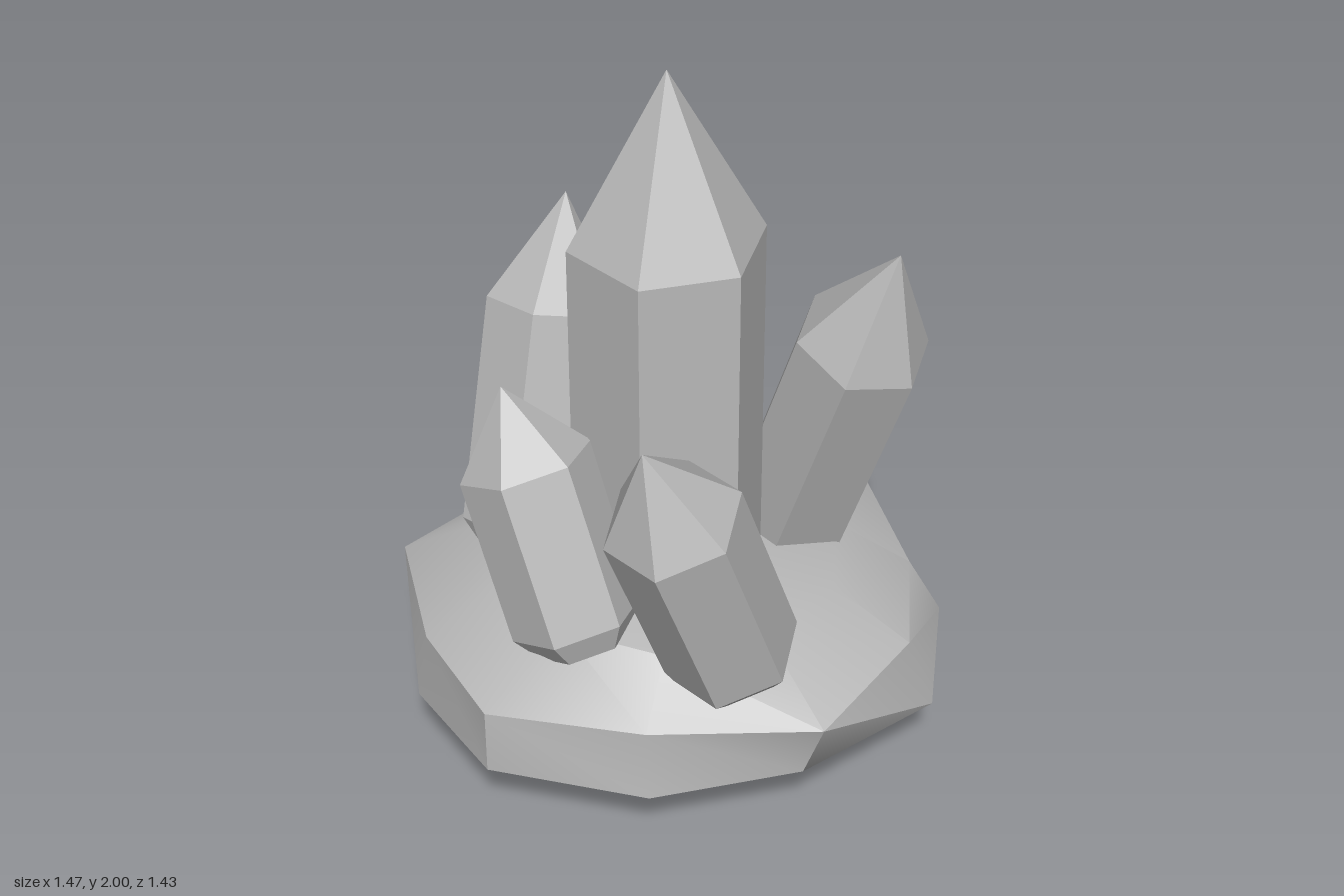
import * as THREE from 'three';
import { toCreasedNormals } from 'three/addons/utils/BufferGeometryUtils.js';

// Closed skin over equal-sized rings of [x, y, z], bottom to top, with a pole at each end
function skin(bottom, rings, top) {
  const n = rings[0].length;
  const points = [bottom, ...rings.flat(), top];
  const last = points.length - 1;
  const index = [];
  for (let i = 0; i < n; i++) {
    const j = (i + 1) % n;
    index.push(0, 1 + i, 1 + j);
    for (let r = 0; r < rings.length - 1; r++) {
      const a = 1 + r * n, b = a + n;
      index.push(a + i, b + i, b + j, a + i, b + j, a + j);
    }
    index.push(last, last - n + j, last - n + i);
  }
  const geometry = new THREE.BufferGeometry();
  geometry.setAttribute('position', new THREE.Float32BufferAttribute(points.flat(), 3));
  geometry.setIndex(index);
  geometry.computeVertexNormals();
  return geometry;
}

// Regular ring around the y axis
function ring(n, radius, y, x = 0, z = 0) {
  return Array.from({ length: n }, (_, i) => {
    const a = (i / n) * Math.PI * 2;
    return [x + radius * Math.cos(a), y, z + radius * Math.sin(a)];
  });
}

// Six-sided crystal from the centre of its lower rim to its tip
function crystal(name, base, tip, radius, material) {
  const from = new THREE.Vector3(...base);
  const axis = new THREE.Vector3(...tip).sub(from);
  const length = axis.length();
  const rings = [ring(6, radius * 0.7, -0.07), ring(6, radius, 0), ring(6, radius, length * 0.68)];
  const geometry = toCreasedNormals(skin([0, -0.08, 0], rings, [0, length, 0]), 0.3);
  const mesh = new THREE.Mesh(geometry, material);
  mesh.name = name;
  mesh.position.copy(from);
  mesh.quaternion.setFromUnitVectors(new THREE.Vector3(0, 1, 0), axis.normalize());
  return mesh;
}

export function createModel() {
  const group = new THREE.Group();
  group.name = 'crystalCluster';
  const stone = new THREE.MeshStandardMaterial({ color: 0xb8b8b8 });
  stone.name = 'grey stone';

  // Rock: a squashed, slightly irregular ten-sided ball
  const lower = [[0.73, 0.04], [0.58, 0.42], [0.17, 0.59], [-0.24, 0.59], [-0.62, 0.38],
    [-0.74, 0.04], [-0.62, -0.38], [-0.34, -0.71], [0.22, -0.66], [0.58, -0.41]];
  const upper = [[0.63, 0.05], [0.52, 0.38], [0.2, 0.66], [-0.24, 0.56], [-0.62, 0.38],
    [-0.71, 0.04], [-0.7, -0.36], [-0.3, -0.6], [0.22, -0.64], [0.63, -0.38]];
  const rockRings = [
    ring(10, 0.44, 0.06).map(([x, y, z]) => [x, y + z * 0.06, z]),
    lower.map(([x, z]) => [x, 0.215, z]),
    upper.map(([x, z]) => [x, 0.405, z]),
    ring(10, 0.45, 0.54, -0.02, 0),
  ];
  const rock = new THREE.Mesh(toCreasedNormals(skin([-0.03, 0, 0.03], rockRings, [-0.03, 0.59, 0]), 0.55), stone);
  rock.name = 'rockBase';
  group.add(rock);

  // Crystals: one upright, four leaning
  group.add(
    crystal('centreCrystal', [-0.05, 0.55, 0.04], [-0.05, 2, 0.04], 0.255, stone),
    crystal('leftCrystal', [0.325, 0.56, -0.08], [0.49, 1.52, 0.235], 0.18, stone),
    crystal('frontCrystal', [0.01, 0.555, 0.46], [-0.255, 1.315, 0.61], 0.18, stone),
    crystal('rightCrystal', [-0.345, 0.56, 0.25], [-0.48, 1.165, 0.035], 0.175, stone),
    crystal('backCrystal', [-0.38, 0.56, -0.2], [-0.205, 1.43, -0.425], 0.18, stone),
  );
  return group;
}
